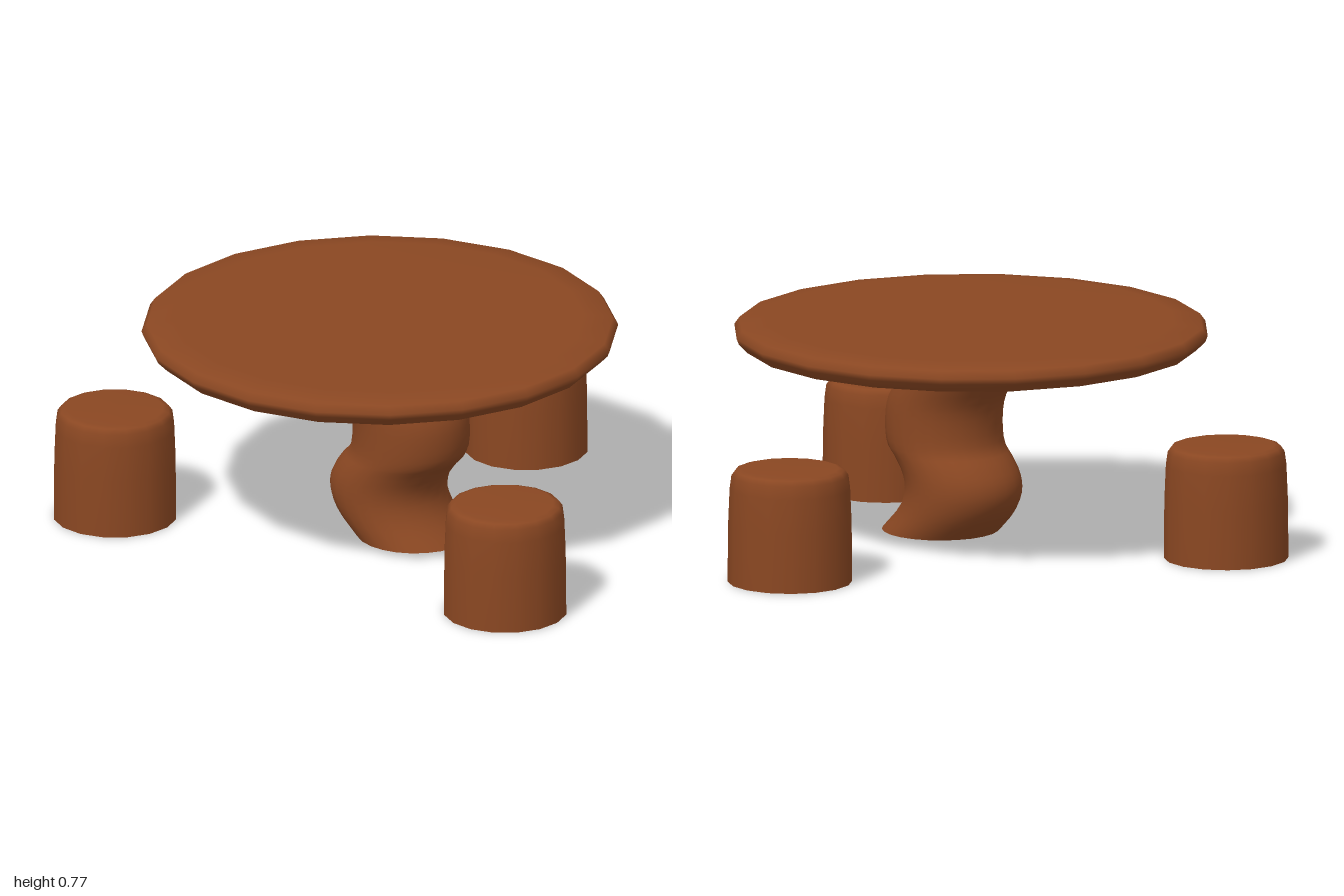
import * as THREE from 'three';
import { mergeVertices } from 'three/addons/utils/BufferGeometryUtils.js';

const CX = 0.02, CZ = 0.145; // axis of the table

function lathe(points, sides) {
  return new THREE.LatheGeometry(points.map(([r, y]) => new THREE.Vector2(r, y)), sides);
}

export function createModel() {
  const wood = new THREE.MeshStandardMaterial({ color: 0x8a4722, side: THREE.DoubleSide });
  wood.name = 'brownWood';
  const model = new THREE.Group();
  model.name = 'tableWithStools';

  const add = (name, geometry, x, y, z, parent = model) => {
    const mesh = new THREE.Mesh(geometry, wood);
    mesh.name = name;
    mesh.position.set(x, y, z);
    parent.add(mesh);
    return mesh;
  };

  // Round table top with a bevelled rim and a flat underside
  const top = new THREE.Group();
  top.name = 'tableTop';
  model.add(top);
  add('topSurface', lathe([
    [0.765, 0.675], [0.795, 0.705], [0.803, 0.725], [0.785, 0.75], [0.69, 0.764], [0, 0.766],
  ], 20), CX, 0, CZ, top);
  const under = add('underside', new THREE.CircleGeometry(0.765, 20), CX, 0.675, CZ, top);
  under.rotation.x = Math.PI / 2;

  // Winding trunk: a level circle whose centre sways along x, open at the ends
  const bottom = 0.02, height = 0.657;
  const sway = new THREE.CatmullRomCurve3([
    [0.165, 0.02], [0.088, 0.1], [0.06, 0.165], [0.067, 0.22], [0.102, 0.275],
    [0.14, 0.32], [0.15, 0.4], [0.138, 0.475], [0.085, 0.56], [0.007, 0.677],
  ].map(([x, y]) => new THREE.Vector3(x, y, 0)));
  const rows = 24;
  const path = sway.getPoints(rows);
  let trunk = new THREE.CylinderGeometry(0.198, 0.198, height, 24, rows, true);
  trunk.deleteAttribute('uv');
  trunk.deleteAttribute('normal');
  trunk = mergeVertices(trunk);
  const pos = trunk.attributes.position;
  for (let i = 0; i < pos.count; i++) {
    const row = Math.round((pos.getY(i) / height + 0.5) * rows);
    pos.setX(i, pos.getX(i) + path[row].x);
    pos.setY(i, Math.max(bottom, path[row].y));
  }
  trunk.computeVertexNormals();
  add('trunk', trunk, 0, 0, 0.15);

  // Three stump stools, hollow underneath
  const stump = lathe([
    [0.21, 0], [0.208, 0.2], [0.203, 0.32], [0.197, 0.365], [0.185, 0.382], [0.165, 0.388], [0, 0.39],
  ], 16);
  add('backStool', stump, CX, 0, -0.745);
  add('leftStool', stump, 0.787, 0, 0.537);
  add('rightStool', stump, -0.79, 0, 0.537);

  return model;
}
